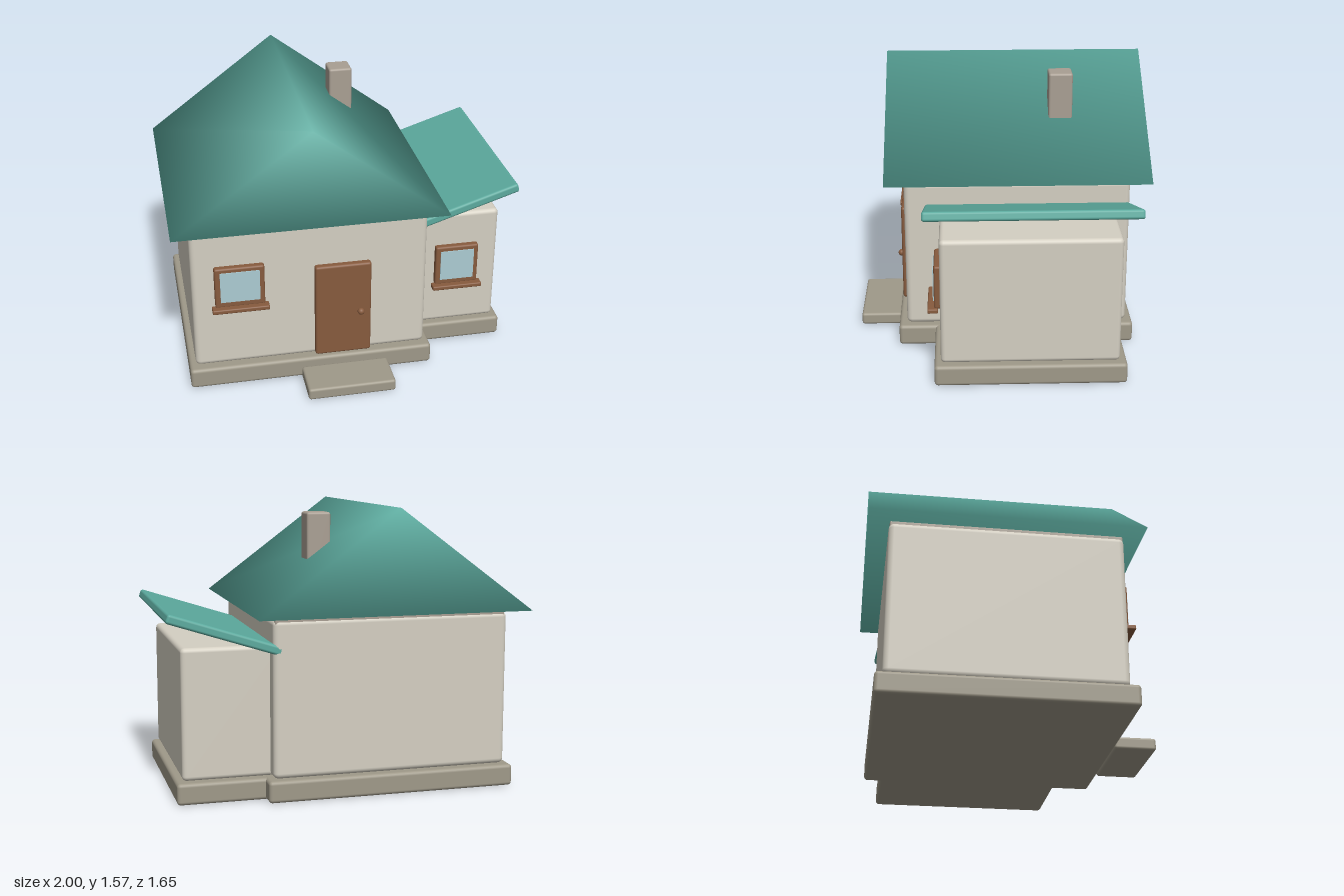
import * as THREE from 'three';
import { RoundedBoxGeometry } from 'three/addons/geometries/RoundedBoxGeometry.js';

function material(name, color) {
  const m = new THREE.MeshStandardMaterial({ color });
  m.name = name;
  return m;
}

// Closed triangular prism whose corners are shared, so the shading runs softly over every edge
function gableRoof(x0, x1, y0, y1, z0, z1) {
  const mid = (x0 + x1) / 2;
  const pos = [], nor = [];
  for (const [z, s] of [[z0, -1], [z1, 1]]) {
    pos.push(x0, y0, z, x1, y0, z, mid, y1, z);
    // corner normals weighted by the angle of each adjoining face
    for (const n of [[-0.937, -0.314, 0.64 * s], [0.937, -0.314, 0.64 * s], [0, 2.51, 1.86 * s]]) {
      nor.push(...new THREE.Vector3(...n).normalize().toArray());
    }
  }
  const g = new THREE.BufferGeometry();
  g.setAttribute('position', new THREE.Float32BufferAttribute(pos, 3));
  g.setAttribute('normal', new THREE.Float32BufferAttribute(nor, 3));
  g.setIndex([
    3, 4, 5, 1, 0, 2,          // gables
    4, 1, 2, 4, 2, 5,          // left slope
    0, 3, 5, 0, 5, 2,          // right slope
    0, 1, 4, 0, 4, 3,          // underside
  ]);
  return g;
}

export function createModel() {
  const house = new THREE.Group();
  house.name = 'house';

  const plaster = material('plaster', 0xd4cfc2);
  const stone = material('stone', 0x9f9989);
  const brick = material('chimneyStone', 0xa99f93);
  const teal = material('tealRoof', 0x5caa9e);
  const wood = material('wood', 0x875b3e);
  const glass = material('glass', 0xabcbd3);

  function add(name, geometry, mat, parent = house) {
    const mesh = new THREE.Mesh(geometry, mat);
    mesh.name = name;
    parent.add(mesh);
    return mesh;
  }

  // Soft-edged block given by its limits on each axis
  function block(name, mat, [x0, x1], [y0, y1], [z0, z1], r = 0.015, parent = house) {
    const mesh = add(name, new RoundedBoxGeometry(x1 - x0, y1 - y0, z1 - z0, 3, r), mat, parent);
    mesh.position.set((x0 + x1) / 2, (y0 + y1) / 2, (z0 + z1) / 2);
    return mesh;
  }

  // Foundations and doorstep
  block('mainFoundation', stone, [-0.935, 0.465], [0, 0.12], [-0.76, 0.59], 0.02);
  block('annexFoundation', stone, [0.3, 0.945], [0, 0.118], [-0.67, 0.38], 0.02);
  block('doorstep', stone, [-0.3, 0.2], [0, 0.07], [0.59, 0.825], 0.015);

  // Walls
  block('mainWalls', plaster, [-0.9, 0.43], [0.12, 0.985], [-0.72, 0.545], 0.03);
  block('wallPlate', brick, [-0.885, 0.42], [0.94, 1.0], [-0.715, 0.54], 0.008);
  block('annexWalls', plaster, [0.36, 0.91], [0.12, 0.84], [-0.63, 0.345], 0.025);

  // Roofs and chimney
  add('mainRoof', gableRoof(-1, 0.53, 1, 1.57, -0.83, 0.65), teal);
  const annexRoof = add('annexRoof', new RoundedBoxGeometry(0.65, 0.052, 1.15, 3, 0.015), teal);
  annexRoof.position.set(0.683, 0.913, -0.145);
  annexRoof.rotation.z = Math.PI / 10;
  block('chimney', brick, [0.03, 0.165], [1.1, 1.53], [-0.41, -0.275], 0.013);

  // Door with knob
  block('door', wood, [-0.215, 0.105], [0.13, 0.71], [0.53, 0.58], 0.014);
  const knob = add('doorKnob', new THREE.SphereGeometry(0.02, 20, 14), wood);
  knob.position.set(0.045, 0.4, 0.585);

  // Windows: wooden frame, thin pane and projecting sill
  function windowUnit(name, [x0, x1], [y0, y1], wall, [gx0, gx1], [gy0, gy1]) {
    const unit = new THREE.Group();
    unit.name = name;
    house.add(unit);
    block('windowFrame', wood, [x0, x1], [y0, y1], [wall - 0.015, wall + 0.034], 0.012, unit);
    const pane = add('windowPane', new THREE.BoxGeometry(gx1 - gx0, gy1 - gy0, 0.008), glass, unit);
    pane.position.set((gx0 + gx1) / 2, (gy0 + gy1) / 2, wall + 0.036);
    block('windowSill', wood, [x0 - 0.02, x1 + 0.02], [y0 - 0.02, y0 + 0.007],
      [wall + 0.012, wall + 0.07], 0.008, unit);
  }
  windowUnit('mainWindow', [-0.775, -0.497], [0.513, 0.76], 0.545, [-0.745, -0.525], [0.55, 0.735]);
  windowUnit('annexWindow', [0.535, 0.79], [0.39, 0.64], 0.345, [0.563, 0.762], [0.425, 0.612]);

  return house;
}
